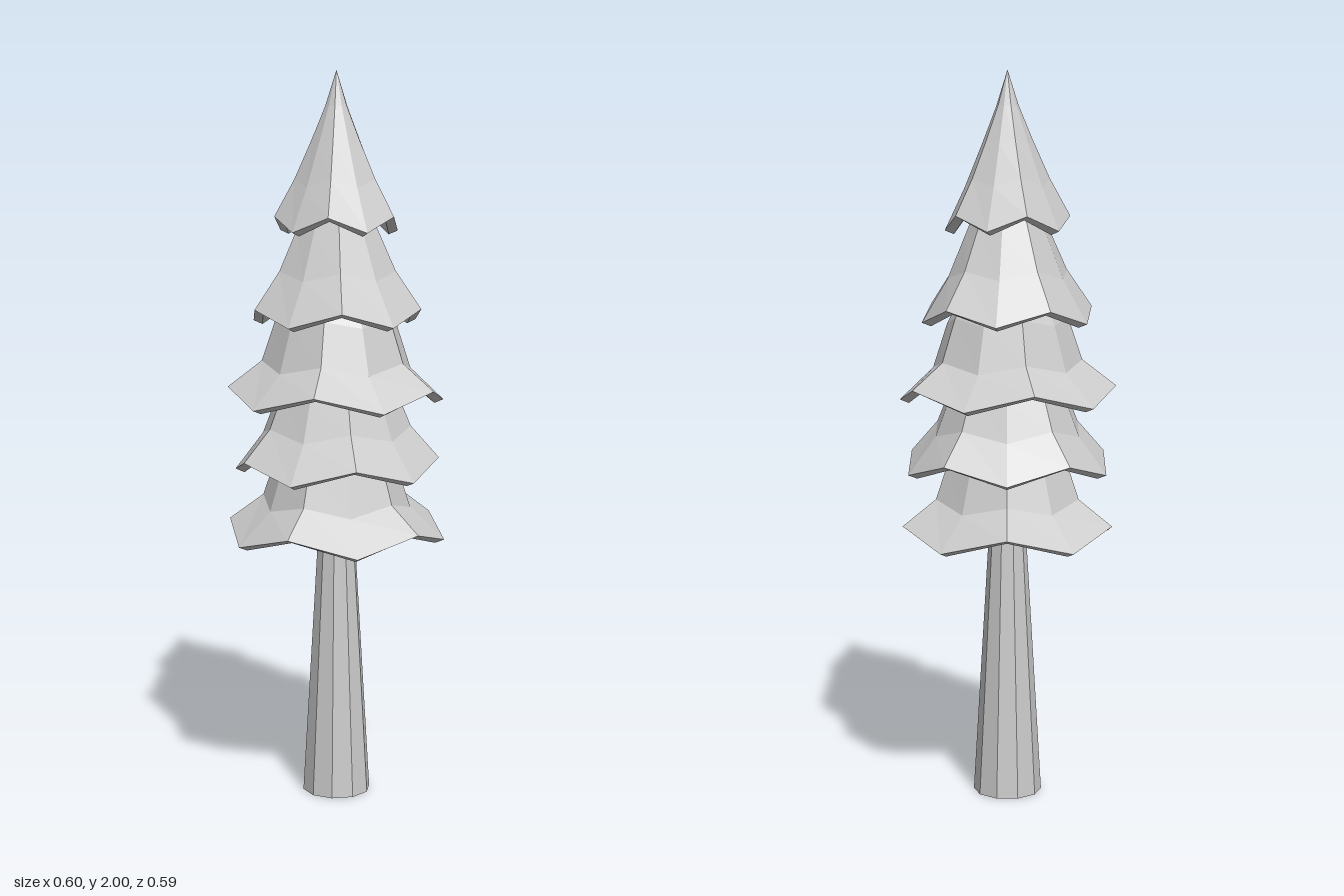
import * as THREE from 'three';

const SIDES = 10;
const material = new THREE.MeshStandardMaterial({
  color: 0xcccccc, flatShading: true, side: THREE.DoubleSide,
});

// Each tier: rim turn in degrees, rim wave height, outer profile [radius, y] from rim to top
const TIERS = [
  { name: 'foliageTop', turn: 0, wave: 0.02, profile: [[0.17, 1.592], [0.115, 1.70], [0.068, 1.81], [0.03, 1.905], [0, 2]] },
  { name: 'foliageUpper', turn: 11, wave: 0.02, profile: [[0.236, 1.345], [0.165, 1.455], [0.115, 1.57], [0.05, 1.72]] },
  { name: 'foliageMiddle', turn: -4, wave: 0.022, profile: [[0.298, 1.13], [0.205, 1.21], [0.165, 1.33], [0.06, 1.52]] },
  { name: 'foliageLower', turn: 18, wave: 0.022, profile: [[0.283, 0.935], [0.205, 1.03], [0.165, 1.13], [0.06, 1.30]] },
  { name: 'foliageBottom', turn: -18, wave: 0.023, profile: [[0.3, 0.75], [0.205, 0.83], [0.17, 0.935], [0.06, 1.10]] },
];

// Hollow skirt: up-and-over shell whose rim rises and falls at alternate corners
function makeTier({ name, turn, wave, profile }) {
  const outer = profile.map(([r, y]) => new THREE.Vector2(r, y));
  const inner = profile
    .map(([r, y]) => new THREE.Vector2(Math.max(r - 0.025, 0), y - 0.01))
    .reverse();
  const points = [...inner, ...outer];
  const rimRadius = profile[0][0];
  const geometry = new THREE.LatheGeometry(points, SIDES, THREE.MathUtils.degToRad(turn));

  const position = geometry.attributes.position;
  for (let k = 0; k < position.count; k++) {
    const column = Math.floor(k / points.length);
    const row = k % points.length;
    // The wave fades out towards the top of the skirt
    const fade = Math.pow(Math.min((points[row].x + (row < inner.length ? 0.025 : 0)) / rimRadius, 1), 1.5);
    const lift = points[row].x === 0 ? 0 : wave * fade;
    position.setY(k, position.getY(k) + (column % 2 === 0 ? lift : -lift));
  }
  geometry.computeVertexNormals();

  const mesh = new THREE.Mesh(geometry, material);
  mesh.name = name;
  return mesh;
}

export function createModel() {
  const tree = new THREE.Group();
  tree.name = 'coniferTree';

  // Tapered trunk running up into the foliage
  const trunk = new THREE.Mesh(new THREE.CylinderGeometry(0.033, 0.095, 1.05, SIDES), material);
  trunk.position.y = 0.525;
  trunk.name = 'trunk';
  tree.add(trunk);

  // Stacked skirts of foliage
  TIERS.forEach((tier) => tree.add(makeTier(tier)));
  return tree;
}
